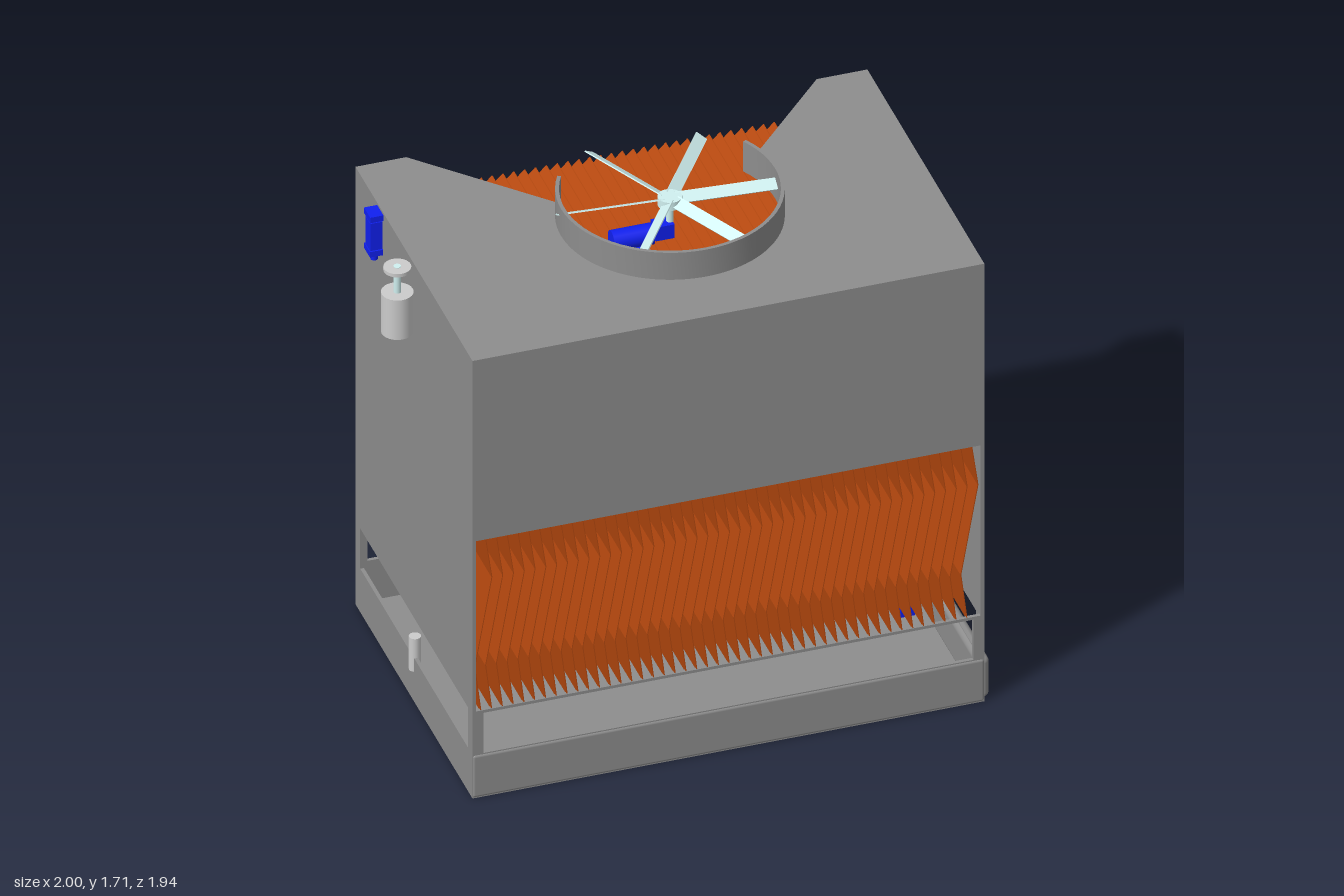
import * as THREE from 'three';
import { mergeGeometries, toCreasedNormals } from 'three/addons/utils/BufferGeometryUtils.js';
import { RoundedBoxGeometry } from 'three/addons/geometries/RoundedBoxGeometry.js';

const mat = (color) => new THREE.MeshStandardMaterial({ color, side: THREE.DoubleSide });
const steel = mat(0x8d8d8d), grey = mat(0xcccccc), rust = mat(0xb5480e), yellow = mat(0xb8b41e);
const blue = mat(0x1020f0), pale = mat(0xd0f0f0);

// casing half sizes and levels
const W = 0.823, D = 0.556, H = 1.61, SILL = 0.16, LINTEL = 0.308, FILL = 0.945, T = 0.012, R = 0.35;
const CUT = THREE.MathUtils.degToRad(30);

export function createModel() {
  const model = new THREE.Group();
  const tower = new THREE.Group();
  tower.name = 'coolingTower';
  tower.rotation.y = THREE.MathUtils.degToRad(43.5);
  tower.position.set(0.01, 0, -0.002);
  model.add(tower);

  const add = (name, geo, material, x = 0, y = 0, z = 0, parent = tower) => {
    const m = new THREE.Mesh(geo, material);
    m.name = name;
    m.position.set(x, y, z);
    parent.add(m);
    return m;
  };
  const box = (w, h, d) => new THREE.BoxGeometry(w, h, d);
  const cyl = (r, h, n = 24, open = false) => new THREE.CylinderGeometry(r, r, h, n, 1, open);
  const points = (list) => list.map((p) => new THREE.Vector2(...p));
  const rect = (x0, y0, x1, y1) => points([[x0, y0], [x1, y0], [x1, y1], [x0, y1]]);
  const panel = (outline, holes) => {
    const s = new THREE.Shape(outline);
    holes.forEach((h) => s.holes.push(new THREE.Path(h)));
    return new THREE.ExtrudeGeometry(s, { depth: T, bevelEnabled: false });
  };

  // side walls, each with an air window above the basin
  for (const s of [-1, 1]) {
    const wall = add(s > 0 ? 'leftWall' : 'rightWall',
      panel(rect(-D, 0, D, H), [rect(-D + 0.045, SILL, D - 0.045, LINTEL)]),
      steel, s > 0 ? W - T : -W);
    wall.rotation.y = Math.PI / 2;
  }

  // long walls: air window, fill opening, and the rear one cut open at the top
  const openings = [rect(-W + 0.035, SILL, W - 0.035, LINTEL), rect(-W + 0.006, LINTEL + 0.01, W - 0.006, FILL)];
  add('frontWall', panel(rect(-W, 0, W, H), openings), steel, 0, 0, D - T);
  const rear = [[-W, 0], [W, 0], [W, H], [0.66, H], [0.66, FILL + 0.012], [-0.66, FILL + 0.012], [-0.66, H], [-W, H]];
  add('rearWall', panel(points(rear), openings), steel, 0, 0, -D);

  // basin floor and rounded outer rims
  add('basinFloor', box(2 * W, 0.012, 2 * D), steel, 0, 0.006, 0);
  add('basinRimSide', new RoundedBoxGeometry(0.044, 0.15, 2 * D, 4, 0.02), steel, W - 0.003, 0.083, 0);
  add('basinRimFront', new RoundedBoxGeometry(2 * W, 0.155, 0.02, 3, 0.009), steel, 0, 0.08, D - 0.006);

  // roof with the fan opening and a flared cut to the rear
  const roof = new THREE.Shape();
  roof.moveTo(-W, -D);
  roof.lineTo(-0.66, -D);
  roof.absarc(0, 0, R, Math.PI + CUT, -CUT, true);
  roof.lineTo(0.66, -D);
  roof.lineTo(W, -D);
  roof.lineTo(W, D);
  roof.lineTo(-W, D);
  const roofGeo = new THREE.ExtrudeGeometry(roof, { depth: T, bevelEnabled: false, curveSegments: 48 });
  roofGeo.rotateX(Math.PI / 2);
  add('roof', roofGeo, steel, 0, H + 0.001, 0);

  // fan ring, open along the cut
  const ringProfile = points([[R, 1.6], [R, 1.71], [R - T, 1.71], [R - T, 1.6], [R, 1.6]]);
  const half = Math.PI / 2 + CUT;
  add('fanRing', toCreasedNormals(new THREE.LatheGeometry(ringProfile, 48, -half, 2 * half), 0.6), steel);

  // stacks of thin folded sheets; each profile point is [offset, height]
  const stack = (name, profile, start, end, count) => {
    const outline = [...profile, ...profile.map(([x, y]) => [x + 0.003, y]).reverse()];
    const sheet = new THREE.ExtrudeGeometry(new THREE.Shape(points(outline)),
      { depth: 2 * D - 0.006, bevelEnabled: false });
    const all = [];
    for (let i = 0; i < count; i++) {
      all.push(sheet.clone().translate(start + (end - start) * i / (count - 1), 0, -D + 0.003));
    }
    add(name, mergeGeometries(all), rust);
  };
  stack('fillSheets', [[0.02, 0.312], [0, 0.48], [0.055, 0.8], [0.035, 0.945]], -0.816, 0.747, 46);
  stack('driftEliminators', [[0, 1.355], [0.035, 1.4], [0, 1.45], [0.035, 1.485]], -0.805, 0.765, 46);

  // water inlet and two spray headers with nozzles
  const inlet = add('inletPipe', cyl(0.04, 0.22, 24, true), yellow, 0.863, 1.205, 0);
  inlet.rotation.z = Math.PI / 2;
  for (const s of [-1, 1]) {
    const path = new THREE.CatmullRomCurve3([[0.77, 0], [0.68, 0.1], [0.57, 0.24], [0.42, 0.32], [0.25, 0.34], [-0.62, 0.34]]
      .map(([x, z]) => new THREE.Vector3(x, 1.205, s * z)), false, 'centripetal');
    add('sprayHeader', new THREE.TubeGeometry(path, 48, 0.045, 20), yellow);
    const cap = add('headerCap', new THREE.CircleGeometry(0.045, 20), yellow, -0.62, 1.205, s * 0.34);
    cap.rotation.y = -Math.PI / 2;
    for (const x of [0.27, -0.08, -0.47]) add('sprayNozzle', cyl(0.018, 0.11, 12), yellow, x, 1.135, s * 0.34);
  }

  // fan: hub and six pitched blades
  const fan = new THREE.Group();
  fan.name = 'fan';
  fan.position.set(0.003, 1.66, -0.01);
  tower.add(fan);
  add('fanHub', cyl(0.038, 0.03), pale, 0, 0, 0, fan);
  add('fanShaft', cyl(0.012, 0.1, 12), pale, 0, -0.055, 0, fan);
  for (let i = 0; i < 6; i++) {
    const arm = new THREE.Group();
    arm.name = 'fanBladeArm';
    arm.rotation.y = THREE.MathUtils.degToRad(-4.5 + 60 * i);
    fan.add(arm);
    const blade = add('fanBlade', box(0.335, 0.004, 0.04), pale, 0.187, 0.005, 0, arm);
    blade.rotation.x = 0.55;
  }

  // fan motor below the hub
  const motor = add('fanMotor', cyl(0.034, 0.13, 20), blue, -0.12, 1.55, -0.01);
  motor.rotation.z = Math.PI / 2;
  add('motorGearbox', box(0.06, 0.05, 0.05), blue, -0.02, 1.56, -0.01);
  add('motorFoot', box(0.08, 0.012, 0.11), blue, -0.12, 1.52, -0.01);

  // blue valves: one upright on the outer wall, one lying in the basin
  const valve = (x, y, z, tilt) => {
    const g = new THREE.Group();
    g.name = 'valve';
    g.position.set(x, y, z);
    g.rotation.x = tilt;
    tower.add(g);
    add('valveBody', box(0.04, 0.12, 0.045), blue, 0, 0, 0, g);
    add('valveTopFlange', box(0.045, 0.02, 0.06), blue, 0, 0.078, 0, g);
    add('valveStem', cyl(0.012, 0.17, 12), blue, 0, 0, 0, g);
    add('valveFoot', box(0.045, 0.02, 0.055), blue, 0, -0.05, 0, g);
  };
  valve(-W - 0.02, 1.515, -0.32, 0);
  valve(0.735, 0.06, 0, Math.PI / 2);

  // float chamber hung outside the right wall
  add('floatChamber', cyl(0.05, 0.145), grey, -0.874, 1.443, -0.008);
  add('floatStem', cyl(0.012, 0.1, 12), pale, -0.874, 1.56, -0.008);
  add('floatCap', cyl(0.043, 0.012), grey, -0.874, 1.602, -0.008);

  // overflow standpipe and drain
  add('overflowPipe', cyl(0.019, 0.12, 16), grey, -0.815, 0.17, -0.015);
  const drain = add('drainPipe', cyl(0.062, 0.2, 28, true), grey, -0.63, 0.085, -0.64);
  drain.rotation.x = Math.PI / 2;

  return model;
}
